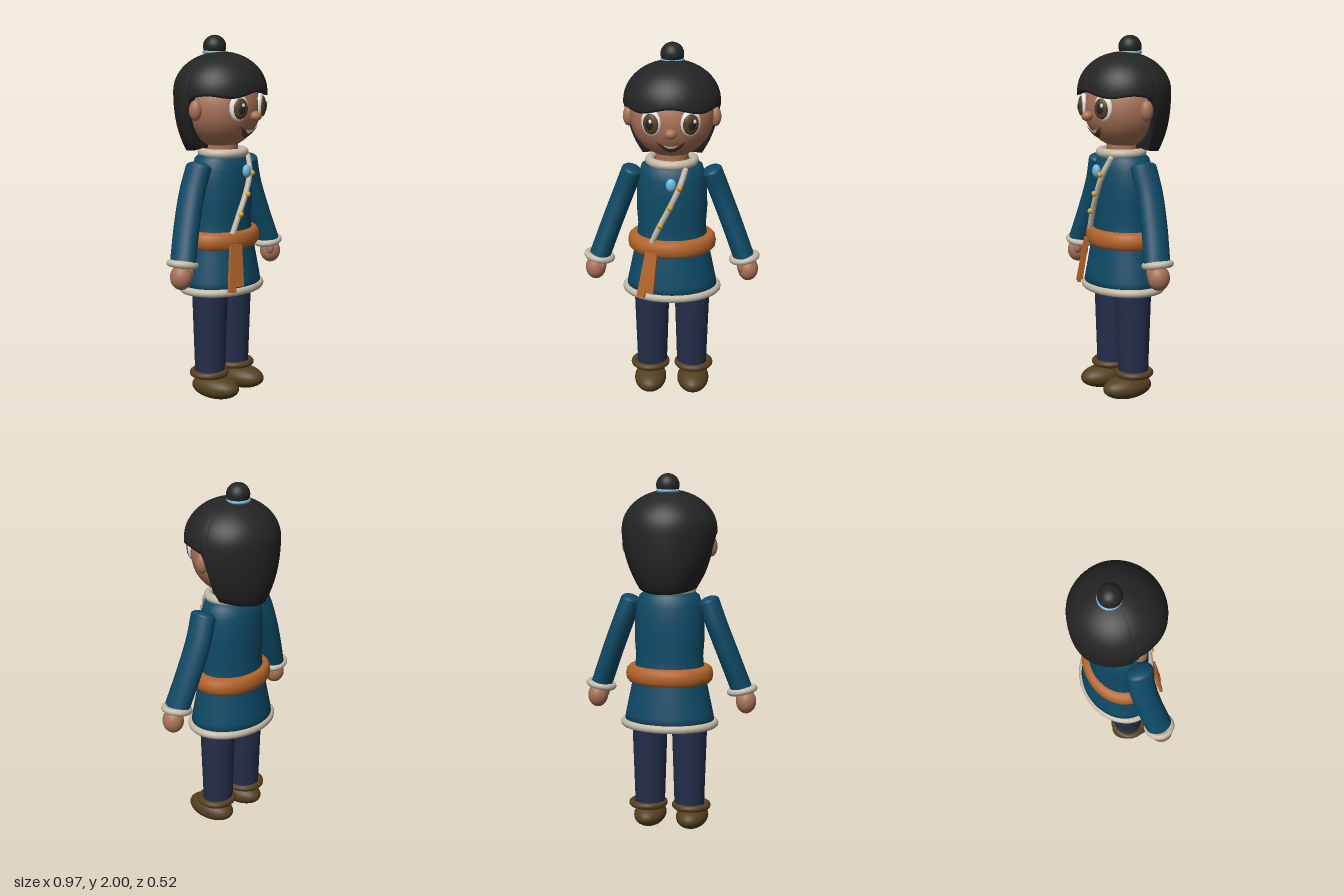
import * as THREE from 'three';

const mat = (name, color) => Object.assign(new THREE.MeshStandardMaterial({ color }), { name });
const V = (x, y, z) => new THREE.Vector3(x, y, z);

export function createModel() {
  const hairMat = mat('black hair', 0x242424), skin = mat('skin', 0xa87256);
  const teal = mat('teal cloth', 0x0e4a66), orange = mat('orange sash', 0xb5652a);
  const cream = mat('cream trim', 0xc4baa8), navy = mat('navy trousers', 0x232e4a);
  const brown = mat('brown leather', 0x554020), white = mat('white', 0xf0f0f0);
  const gold = mat('gold', 0xd6a22c), blue = mat('light blue', 0x6db4dc);
  const model = new THREE.Group();

  const add = (name, geo, material, parent = model) => {
    const m = new THREE.Mesh(geo, material);
    m.name = name;
    parent.add(m);
    return m;
  };
  const ball = (name, material, p, r, parent = model) => {
    const m = add(name, new THREE.SphereGeometry(1, 32, 20), material, parent);
    m.position.set(...p);
    m.scale.set(...r);
    return m;
  };
  // horizontal ring with an outer half-width and half-depth
  const ring = (name, material, p, rx, rz, tube, parent = model) => {
    const geo = new THREE.TorusGeometry(rx - tube, tube, 12, 40).rotateX(Math.PI / 2);
    const m = add(name, geo, material, parent);
    m.position.set(...p);
    m.scale.z = rz / rx;
    return m;
  };
  const lathe = (name, material, pts, depth) => {
    const m = add(name, new THREE.LatheGeometry(pts.map(p => new THREE.Vector2(...p)), 48), material);
    m.scale.z = depth;
    return m;
  };

  // Coat, hem, belt and collar
  lathe('coat', teal, [[0, 0.62], [0.255, 0.62], [0.245, 0.68], [0.22, 0.8], [0.195, 0.92], [0.187, 1],
    [0.194, 1.1], [0.192, 1.2], [0.184, 1.28], [0.166, 1.34], [0.12, 1.375], [0, 1.375]], 0.8);
  ring('hem trim', cream, [0, 0.625, 0], 0.275, 0.215, 0.022);
  lathe('belt', orange, [[0.18, 0.855], [0.225, 0.857], [0.24, 0.875], [0.244, 0.903], [0.238, 0.933],
    [0.222, 0.949], [0.18, 0.95]], 0.79);
  ring('collar', cream, [0, 1.37, 0.012], 0.146, 0.137, 0.025);

  // Diagonal closure with gold buttons and brooch
  const trim = new THREE.CatmullRomCurve3([V(0.075, 1.345, 0.125), V(0.045, 1.26, 0.158),
    V(-0.005, 1.15, 0.166), V(-0.06, 1.04, 0.16), V(-0.105, 0.94, 0.15)]);
  add('diagonal trim', new THREE.TubeGeometry(trim, 30, 0.016, 10), cream);
  ball('trim end', cream, [0.075, 1.345, 0.125], [0.016, 0.016, 0.016]);
  for (const [x, y, z] of [[0.045, 1.26, 0.175], [-0.005, 1.15, 0.182], [-0.06, 1.045, 0.175]]) {
    ball('button', gold, [x, y, z], [0.016, 0.016, 0.014]);
  }
  ball('brooch', blue, [0, 1.275, 0.17], [0.028, 0.036, 0.022]);

  // Hanging sash tails
  for (const [x, y, z, len, tilt] of [[-0.142, 0.76, 0.178, 0.26, -0.2], [-0.105, 0.775, 0.193, 0.23, -0.1]]) {
    const tail = add('sash tail', new THREE.BoxGeometry(0.044, len, 0.018), orange);
    tail.position.set(x, y, z);
    tail.rotation.set(-0.16, -0.3, tilt);
  }

  // Arms and legs
  for (const s of [-1, 1]) {
    const arm = new THREE.Group();
    arm.name = s > 0 ? 'left arm' : 'right arm';
    model.add(arm);
    const path = new THREE.CatmullRomCurve3([V(s * 0.218, 1.305, 0.006), V(s * 0.265, 1.18, 0),
      V(s * 0.33, 1.01, 0.01), V(s * 0.398, 0.825, 0.03)]);
    add('sleeve', new THREE.TubeGeometry(path, 24, 0.058, 24), teal, arm).scale.z = 1.28;
    const cap = ball('shoulder', teal, [s * 0.218, 1.305, 0.008], [0.058, 0.03, 0.074], arm);
    cap.rotation.z = s * 0.36;
    const cuff = ring('cuff', cream, [s * 0.402, 0.815, 0.038], 0.086, 0.086, 0.019, arm);
    cuff.rotation.z = s * 0.2;
    ball('cuff lining', teal, [s * 0.402, 0.815, 0.038], [0.066, 0.012, 0.066], arm).rotation.z = s * 0.2;
    ball('hand', skin, [s * 0.424, 0.75, 0.045], [0.056, 0.068, 0.06], arm);
    ball('thumb', skin, [s * 0.385, 0.77, 0.07], [0.022, 0.035, 0.024], arm);

    const leg = new THREE.Group();
    leg.name = s > 0 ? 'left leg' : 'right leg';
    model.add(leg);
    const trouser = add('trouser leg', new THREE.CylinderGeometry(0.1, 0.083, 0.52, 32), navy, leg);
    trouser.position.set(s * 0.113, 0.39, 0.004);
    ring('boot cuff', brown, [s * 0.124, 0.145, 0.006], 0.11, 0.108, 0.019, leg);
    ball('shoe', brown, [s * 0.122, 0.068, 0.048], [0.09, 0.066, 0.148], leg);
  }

  // Head: an ellipsoid, with patches laid over its front
  const head = new THREE.Group();
  head.name = 'head';
  model.add(head);
  const neck = add('neck', new THREE.CylinderGeometry(0.09, 0.09, 0.12, 32), skin, head);
  neck.position.set(0, 1.41, 0);
  ball('face', skin, [0, 1.615, 0], [0.225, 0.222, 0.212], head);
  const faceZ = (x, y) => 0.212 * Math.sqrt(Math.max(0, 1 - (x / 0.225) ** 2 - ((y - 1.615) / 0.222) ** 2));
  const patch = (name, material, width, top, bottom, lift) => {
    const geo = new THREE.PlaneGeometry(2, 1, 24, 6), p = geo.attributes.position;
    for (let i = 0; i < p.count; i++) {
      const u = p.getX(i), v = p.getY(i) + 0.5;
      const x = u * width, y = bottom(u) + (top(u) - bottom(u)) * v;
      p.setXYZ(i, x, y, faceZ(x, y) + lift);
    }
    geo.computeVertexNormals();
    add(name, geo, material, head).material.side = THREE.DoubleSide;
  };
  patch('mouth', brown, 0.082, u => 1.492 + 0.035 * u * u, u => 1.455 + 0.072 * u * u, 0.011);
  patch('teeth', white, 0.04, u => 1.498 + 0.007 * u * u, u => 1.48 + 0.022 * u * u, 0.014);
  ball('nose', skin, [0, 1.575, 0.227], [0.032, 0.027, 0.03], head);

  for (const s of [-1, 1]) {
    // Eyes in flattened layers, turned to follow the face
    const eye = new THREE.Group();
    eye.name = s > 0 ? 'left eye' : 'right eye';
    eye.position.set(s * 0.103, 1.625, 0.187);
    eye.rotation.y = s * 0.42;
    head.add(eye);
    ball('eye white', white, [0, 0, 0], [0.056, 0.072, 0.022], eye);
    ball('iris', brown, [-s * 0.004, -0.004, 0.012], [0.044, 0.056, 0.019], eye);
    ball('pupil', hairMat, [-s * 0.004, -0.004, 0.021], [0.025, 0.034, 0.014], eye);
    ball('eye glint', white, [0.01, 0.014, 0.032], [0.009, 0.011, 0.004], eye);
    const brow = new THREE.CatmullRomCurve3([V(s * 0.045, 1.7, 0.195), V(s * 0.1, 1.712, 0.182),
      V(s * 0.155, 1.697, 0.145)]);
    add('eyebrow', new THREE.TubeGeometry(brow, 16, 0.012, 8), skin, head);
    ball('ear', skin, [s * 0.232, 1.61, -0.002], [0.032, 0.055, 0.036], head);
  }

  // Hair shell: short over the face, long behind the ears, closed underneath
  const around = 96, down = 24, pos = [], idx = [];
  for (let j = 0; j <= down + 2; j++) {
    for (let i = 0; i <= around; i++) {
      const a = (i / around) * Math.PI * 2, c = Math.cos(a), sn = Math.sin(a);
      const long = THREE.MathUtils.smoothstep(-c, 0.1, 0.24);
      const fringe = 1.695 + 0.012 * Math.cos(a * 5) - 0.02 * sn * sn;
      const edge = THREE.MathUtils.lerp(fringe, 1.395 - 0.03 * Math.max(0, -c), long);
      const v = Math.min(j / down, 1);
      const y = 1.912 - (1.912 - edge) * (1 - Math.cos(v * Math.PI / 2));
      const t = Math.max(0, (1.7 - y) / 0.34);
      const k = y > 1.7 ? Math.sqrt(Math.max(0, 1 - ((y - 1.7) / 0.212) ** 2)) : 1;
      const inner = j <= down ? 1 : j === down + 1 ? 0.7 : 0;
      const w = 0.26 * k * (1 - 0.42 * t * t) * inner;
      const d = (c > 0 ? 0.245 : 0.262 * (1 - 0.22 * t ** 3)) * k * inner;
      pos.push(sn * w, y + (j > down ? 0.01 : 0), c * d);
    }
  }
  const row = around + 1;
  for (let j = 0; j < down + 2; j++) {
    for (let i = 0; i < around; i++) {
      const a = j * row + i, b = a + row;
      idx.push(a, b, a + 1, b, b + 1, a + 1);
    }
  }
  const hair = new THREE.BufferGeometry();
  hair.setAttribute('position', new THREE.Float32BufferAttribute(pos, 3));
  hair.setIndex(idx);
  hair.computeVertexNormals();
  add('hair', hair, hairMat, head);

  // Topknot and its band
  ball('topknot', hairMat, [0, 1.938, -0.045], [0.063, 0.062, 0.063], head);
  ring('topknot band', blue, [0, 1.908, -0.048], 0.064, 0.064, 0.009, head);

  return model;
}
